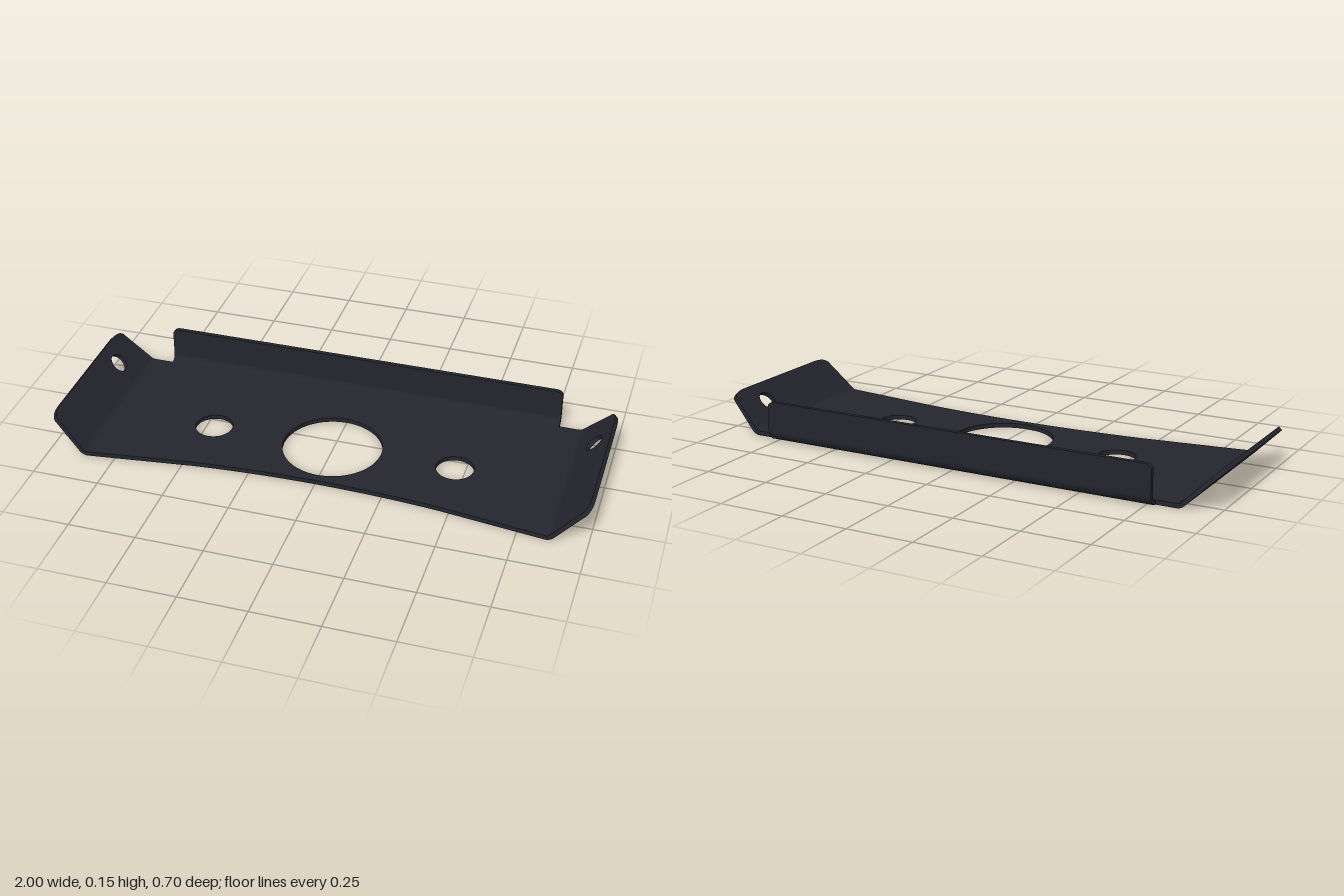
import * as THREE from 'three';
import { toCreasedNormals } from 'three/addons/utils/BufferGeometryUtils.js';

const T = 0.017; // sheet thickness
const R = 0.042; // outer bend radius

const steel = new THREE.MeshStandardMaterial({ color: 0x25252f });
steel.name = 'dark painted steel';

function part(name, geometry) {
  const mesh = new THREE.Mesh(toCreasedNormals(geometry, 0.6), steel);
  mesh.name = name;
  return mesh;
}

// Flat sheet lying on y = 0; shape coordinates are (x, -z)
function sheet(shape, segments = 16) {
  const g = new THREE.ExtrudeGeometry(shape, { depth: T, bevelEnabled: false, curveSegments: segments });
  return g.rotateX(-Math.PI / 2);
}

function addHole(shape, x, z, r) {
  shape.holes.push(new THREE.Path().absarc(x, -z, r, 0, Math.PI * 2, true));
}

// Folded tab running along +x: a bend of the given angle, then a flat flap.
// z0 < z1 are the ends of the fold; the flap has tapered sides and rounded tip corners.
function foldedTab(name, { z0, z1, angle, length, taper, cornerS, cornerZ, holeZ }) {
  const group = new THREE.Group();
  group.name = name;

  const section = new THREE.Shape();
  section.absarc(0, R, R, -Math.PI / 2, -Math.PI / 2 + angle, false);
  section.absarc(0, R, R - T, -Math.PI / 2 + angle, -Math.PI / 2, true);
  section.closePath();
  const bend = new THREE.ExtrudeGeometry(section, { depth: z1 - z0, bevelEnabled: false, curveSegments: 10 });
  group.add(part(name + 'Bend', bend.translate(0, 0, z0)));

  const a = -z1, b = -z0; // flap ends in shape coordinates
  const flap = new THREE.Shape();
  flap.moveTo(0, a);
  flap.lineTo(length - cornerS, a + taper);
  flap.quadraticCurveTo(length, a + taper, length, a + taper + cornerZ);
  flap.lineTo(length, b - taper - cornerZ);
  flap.quadraticCurveTo(length, b - taper, length - cornerS, b - taper);
  flap.lineTo(0, b);
  flap.closePath();
  if (holeZ !== undefined) addHole(flap, 0.087, holeZ, 0.037);
  const flapMesh = part(name + 'Flap', sheet(flap));
  flapMesh.rotation.z = angle;
  flapMesh.position.set(R * Math.sin(angle), R * (1 - Math.cos(angle)), 0);
  group.add(flapMesh);
  return group;
}

export function createModel() {
  const model = new THREE.Group();
  model.name = 'mountingBracket';
  const foldX = 0.8515, backZ = -0.31, frontZ = 0.353;

  // Base plate with a hollowed front edge and three round holes
  const base = new THREE.Shape();
  base.moveTo(-foldX, -frontZ);
  base.lineTo(-0.46, -0.302);
  base.quadraticCurveTo(0, -0.256, 0.46, -0.302);
  base.lineTo(foldX, -frontZ);
  base.lineTo(foldX, -backZ);
  base.lineTo(-foldX, -backZ);
  base.closePath();
  addHole(base, 0, 0.06, 0.185);
  for (const side of [-1, 1]) addHole(base, side * 0.464, 0.06, 0.07);
  model.add(part('basePlate', sheet(base, 32)));

  // Angled end wings, each with a screw hole
  const wing = { angle: Math.PI / 4, length: 0.168, taper: 0.021, cornerS: 0.035, cornerZ: 0.08 };
  const leftWing = foldedTab('leftWing', { ...wing, z0: backZ, z1: frontZ, holeZ: -0.145 });
  leftWing.position.x = foldX;
  const rightWing = foldedTab('rightWing', { ...wing, z0: -frontZ, z1: -backZ, holeZ: 0.145 });
  rightWing.position.x = -foldX;
  rightWing.rotation.y = Math.PI;
  model.add(leftWing, rightWing);

  // Upright flange along the back edge
  const flange = foldedTab('backFlange', {
    z0: -0.777, z1: 0.777, angle: Math.PI / 2, length: 0.111, taper: 0, cornerS: 0.022, cornerZ: 0.03,
  });
  flange.rotation.y = Math.PI / 2;
  flange.position.z = backZ;
  model.add(flange);

  return model;
}
